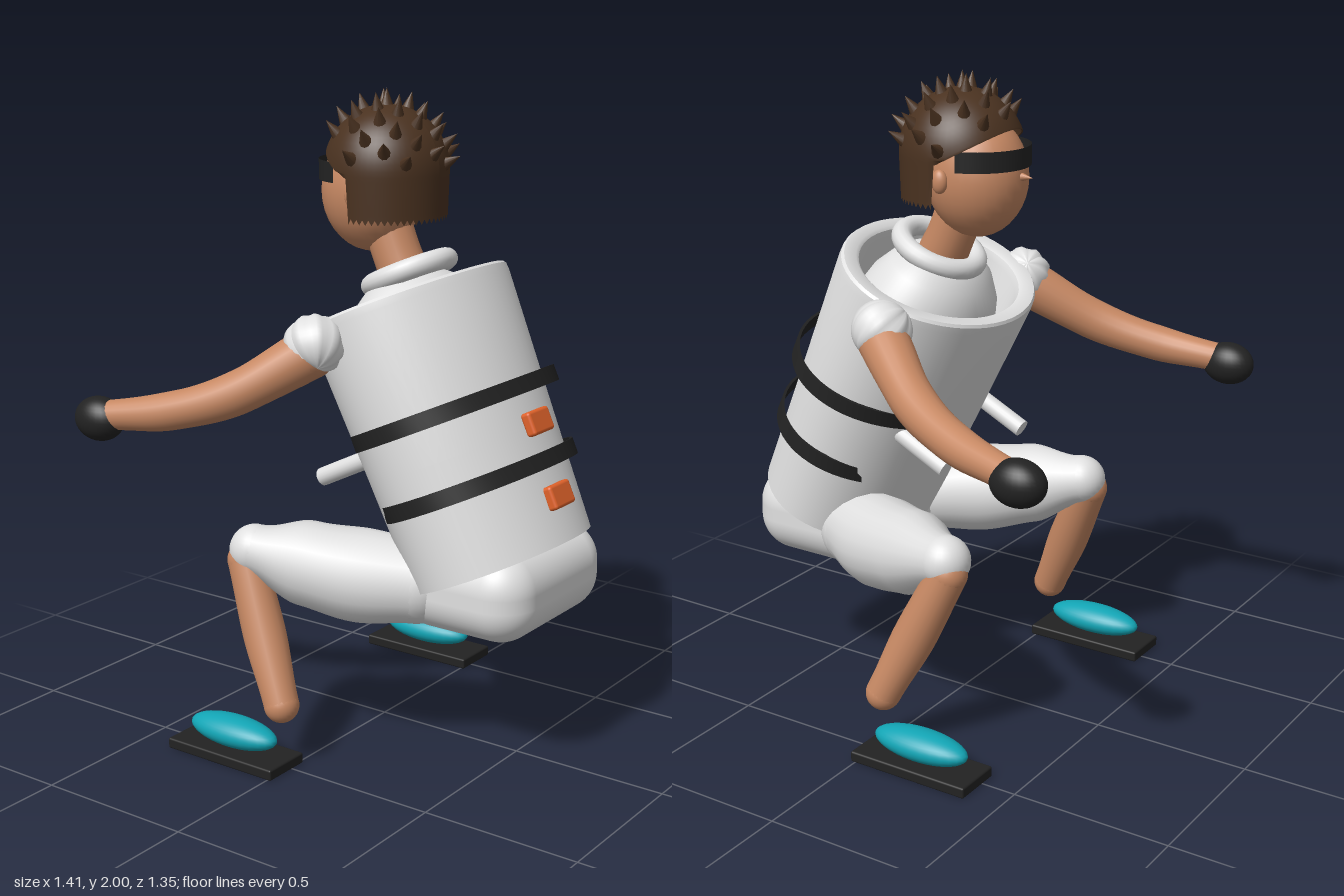
import * as THREE from 'three';
import { toCreasedNormals } from 'three/addons/utils/BufferGeometryUtils.js';
import { RoundedBoxGeometry } from 'three/addons/geometries/RoundedBoxGeometry.js';

const mat = (name, color, side = THREE.FrontSide) =>
  Object.assign(new THREE.MeshStandardMaterial({ color, side }), { name });
const V = (x, y, z) => new THREE.Vector3(x, y, z);

export function createModel() {
  const model = new THREE.Group();
  const white = mat('white', 0xe0e0e0);
  const skin = mat('skin', 0xc68863);
  const brown = mat('hair brown', 0x4a3220, THREE.DoubleSide);
  const black = mat('black', 0x222222);
  const orange = mat('orange', 0xe0622a);
  const teal = mat('teal', 0x12a5b5);

  const add = (name, geo, material, pos, parent = model) => {
    const m = new THREE.Mesh(geo, material);
    m.name = name;
    if (pos) m.position.copy(pos);
    parent.add(m);
    return m;
  };
  const ball = (name, material, pos, rx, ry = rx, rz = rx, parent = model) => {
    const m = add(name, new THREE.SphereGeometry(1, 28, 18), material, pos, parent);
    m.scale.set(rx, ry, rz);
    return m;
  };
  const lathe = (pts, seg = 56) => toCreasedNormals(
    new THREE.LatheGeometry(pts.map(([r, y]) => new THREE.Vector2(r, y)), seg), 0.6);

  // Tapered tube through points, closed with a ball at each end
  const limb = (name, pts, radii, material) => {
    const g = new THREE.Group();
    g.name = name;
    const curve = new THREE.CatmullRomCurve3(pts);
    const n = 24, sides = 20;
    const geo = new THREE.TubeGeometry(curve, n, 1, sides);
    const p = geo.attributes.position, v = V(0, 0, 0);
    for (let i = 0; i <= n; i++) {
      const c = curve.getPointAt(i / n);
      const f = (i / n) * (radii.length - 1), k = Math.min(Math.floor(f), radii.length - 2);
      const r = THREE.MathUtils.lerp(radii[k], radii[k + 1], THREE.MathUtils.smoothstep(f - k, 0, 1));
      for (let j = 0; j <= sides; j++) {
        const id = i * (sides + 1) + j;
        v.fromBufferAttribute(p, id).sub(c).multiplyScalar(r).add(c);
        p.setXYZ(id, v.x, v.y, v.z);
      }
    }
    add(name + 'Tube', geo, material, null, g);
    ball(name + 'Start', material, pts[0], radii[0], radii[0], radii[0], g);
    const e = radii[radii.length - 1];
    ball(name + 'End', material, pts[pts.length - 1], e, e, e, g);
    model.add(g);
  };

  // Leaning upper body: shell, torso, collar, straps and buckles
  const body = new THREE.Group();
  body.name = 'upperBody';
  body.position.set(0, 0.615, 0.44);
  body.rotation.x = -0.43;
  model.add(body);
  add('barrelShell', lathe([[0.28, 0], [0.33, 0], [0.345, 0.35], [0.368, 0.82], [0.366, 0.842], [0.358, 0.85],
    [0.315, 0.85], [0.302, 0.842], [0.296, 0.82], [0.28, 0]]), white, null, body).scale.z = 0.78;
  add('torso', lathe([[0, 0], [0.278, 0], [0.28, 0.6], [0.27, 0.7], [0.24, 0.79], [0.19, 0.86], [0.12, 0.905], [0, 0.92]]),
    white, null, body).scale.z = 0.78;
  add('collar', new THREE.TorusGeometry(0.122, 0.032, 14, 40).rotateX(Math.PI / 2), white, V(0, 0.91, 0.034), body);
  for (const [rx, rz, y, z] of [[0.38, 0.292, 0.477, 0.026], [0.357, 0.277, 0.249, 0.021]]) {
    const strap = add('strap', lathe([[0.972, -0.025], [1, -0.025], [1, 0.025], [0.972, 0.025], [0.972, -0.025]], 64),
      black, V(0, y, z), body);
    strap.scale.set(rx, 1, rz);
  }
  for (const [y, z] of [[0.36, 0.286], [0.136, 0.268]])
    add('buckle', new RoundedBoxGeometry(0.112, 0.072, 0.034, 3, 0.01), orange, V(0, y, z), body);

  // Pelvis
  add('pelvis', new RoundedBoxGeometry(0.57, 0.28, 0.46, 8, 0.12), white, V(0, 0.57, 0.425));

  // Neck and head
  limb('neck', [V(0, 1.42, 0.09), V(0, 1.5, 0.05), V(0, 1.62, 0)], [0.078, 0.074, 0.074], skin);
  ball('head', skin, V(0, 1.695, -0.045), 0.148, 0.185, 0.158);
  const nose = add('nose', new THREE.ConeGeometry(0.02, 0.06, 14), skin, V(0, 1.705, -0.208));
  nose.rotation.x = -Math.PI / 2;
  const goggles = add('goggles', new THREE.CylinderGeometry(1, 1, 0.062, 40, 1, true, Math.PI * 0.56, Math.PI * 0.88),
    mat('goggle black', 0x222222, THREE.DoubleSide), V(0, 1.76, -0.04));
  goggles.scale.set(0.165, 1, 0.166);

  // Hair cap: dome above, straight at the back, cut higher over the face
  const hair = new THREE.SphereGeometry(1, 60, 24);
  const hp = hair.attributes.position, huv = hair.attributes.uv;
  const midY = 1.765, hairR = 0.188;
  for (let i = 0; i < hp.count; i++) {
    const a = huv.getX(i) * Math.PI * 2, t = 1 - huv.getY(i);
    const back = Math.cos(a);
    const low = back > -0.06 ? 1.615 : 1.735 + 0.105 * -back;
    let y, r;
    if (t <= 0.6) {
      const end = Math.max(low, midY);
      const th = (t / 0.6) * Math.acos((end - midY) / 0.188);
      y = midY + 0.188 * Math.cos(th);
      r = Math.sin(th);
    } else {
      const end = Math.max(low, midY), f = (t - 0.6) / 0.4;
      y = THREE.MathUtils.lerp(end, Math.min(low, end), f);
      r = Math.sqrt(Math.max(0, 1 - ((end - midY) / 0.188) ** 2)) * (1 - 0.03 * f);
    }
    hp.setXYZ(i, Math.sin(a) * r * hairR, y, Math.cos(a) * r * 0.19 + 0.008);
  }
  // The sphere's winding is mirrored by the remap, so flip each face
  const idx = hair.index;
  for (let i = 0; i < idx.count; i += 3) {
    const s = idx.getX(i);
    idx.setX(i, idx.getX(i + 1));
    idx.setX(i + 1, s);
  }
  // Check the direction on one dome face and restore it if needed
  const fa = V(0, 0, 0).fromBufferAttribute(hp, idx.getX(1500));
  const fb = V(0, 0, 0).fromBufferAttribute(hp, idx.getX(1501)).sub(fa);
  const fc = V(0, 0, 0).fromBufferAttribute(hp, idx.getX(1502)).sub(fa);
  if (fb.cross(fc).dot(fa.clone().sub(V(0, midY, 0))) < 0) idx.array.reverse();
  hair.computeVertexNormals();
  add('hairCap', hair, brown);
  // Hair spikes spread in a spiral over the dome
  const count = 44;
  for (let i = 0; i < count; i++) {
    const ny = 1 - (i / count) * 0.9, a = i * 2.39996;
    const s = Math.sqrt(1 - ny * ny);
    const dir = V(Math.sin(a) * s, ny, Math.cos(a) * s);
    if (dir.z < -0.3 && ny < 0.5) continue;
    const spike = add('hairSpike', new THREE.ConeGeometry(0.024, 0.064, 10), brown,
      V(0, midY, 0.008).addScaledVector(dir, 0.205));
    spike.quaternion.setFromUnitVectors(V(0, 1, 0), dir.clone().add(V(0, 0.35, 0)).normalize());
  }

  // Puffy sleeve with shallow folds
  const puff = new THREE.SphereGeometry(0.088, 32, 20);
  const pp = puff.attributes.position, q = V(0, 0, 0);
  for (let i = 0; i < pp.count; i++) {
    q.fromBufferAttribute(pp, i);
    const fold = Math.hypot(q.x, q.z) / 0.088;
    q.multiplyScalar(1 + 0.05 * fold * Math.cos(9 * Math.atan2(q.z, q.x)));
    pp.setXYZ(i, q.x, q.y, q.z);
  }
  puff.computeVertexNormals();

  // Paired parts
  for (const [s, side] of [[1, 'left'], [-1, 'right']]) {
    ball(side + 'Ear', skin, V(s * 0.15, 1.695, -0.01), 0.02, 0.036, 0.026);
    const sleeve = add(side + 'Sleeve', puff, white, V(s * 0.39, 1.295, 0.03));
    sleeve.rotation.set(-0.7, 0, s * 0.6);
    limb(side + 'Arm', [V(s * 0.4, 1.27, 0.02), V(s * 0.52, 1.14, -0.18), V(s * 0.59, 1.08, -0.36), V(s * 0.64, 1.05, -0.55)],
      [0.076, 0.066, 0.058, 0.046], skin);
    ball(side + 'Glove', black, V(s * 0.645, 1.035, -0.59), 0.062, 0.068, 0.085);
    limb(side + 'Thigh', [V(s * 0.2, 0.565, 0.26), V(s * 0.29, 0.58, 0.1), V(s * 0.365, 0.612, -0.08), V(s * 0.405, 0.632, -0.195)],
      [0.128, 0.143, 0.13, 0.078], white);
    limb(side + 'Shin', [V(s * 0.42, 0.6, -0.215), V(s * 0.455, 0.4, -0.125), V(s * 0.493, 0.195, -0.03)],
      [0.06, 0.066, 0.054], skin);
    ball(side + 'Shoe', teal, V(s * 0.528, 0.082, -0.19), 0.064, 0.047, 0.162);
    add(side + 'FootBoard', new RoundedBoxGeometry(0.16, 0.034, 0.405, 2, 0.006), black, V(s * 0.527, 0.017, -0.188));
    // Handle jutting from the front of the shell
    const a = V(s * 0.22, 0.935, 0.12), b = V(s * 0.22, 0.838, -0.075);
    const handle = add(side + 'Handle', new THREE.CylinderGeometry(0.028, 0.028, a.distanceTo(b), 18), white,
      a.clone().add(b).multiplyScalar(0.5));
    handle.quaternion.setFromUnitVectors(V(0, 1, 0), b.clone().sub(a).normalize());
  }
  return model;
}
